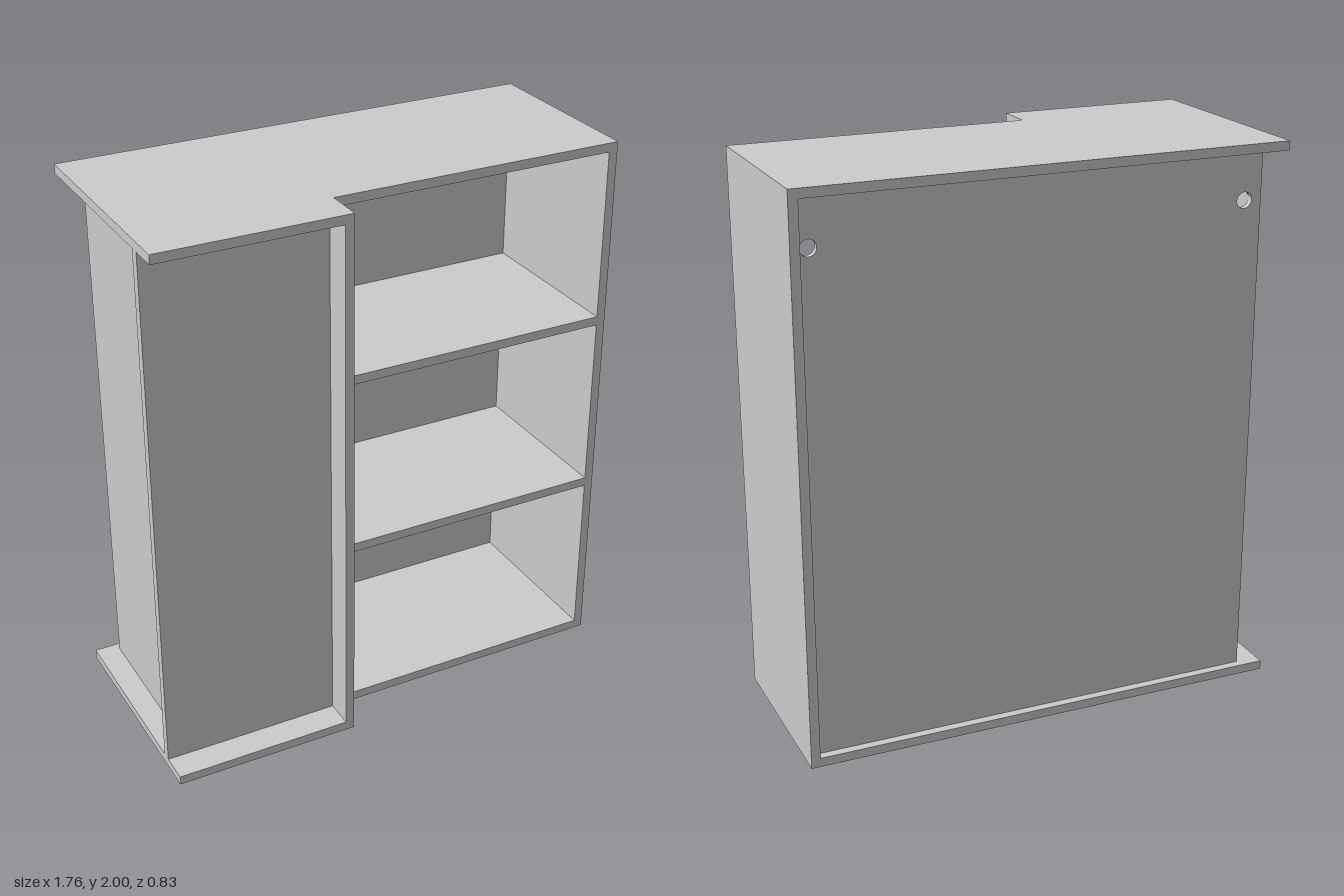
import * as THREE from 'three';

export function createModel() {
  const group = new THREE.Group();
  const material = new THREE.MeshStandardMaterial({ color: 0xcccccc });

  // Board given by its min and max corners
  function board(name, x0, x1, y0, y1, z0, z1) {
    const mesh = new THREE.Mesh(new THREE.BoxGeometry(x1 - x0, y1 - y0, z1 - z0), material);
    mesh.position.set((x0 + x1) / 2, (y0 + y1) / 2, (z0 + z1) / 2);
    mesh.name = name;
    group.add(mesh);
  }

  const W = 0.88, H = 2, T = 0.033;
  const back = -0.413, front = 0.27, rear = -0.382, doorFront = 0.413;
  const wallOut = -0.795, wallIn = -0.76, doorEdge = -0.2;

  // Cabinet carcass: top and bottom overhang the inset wall at -x
  board('bottomBoard', -W, W, 0, T, back, front);
  board('topBoard', -W, W, H - T, H, back, front);
  board('leftWall', W - T, W, T, H - T, back, front);
  board('insetWall', wallOut, wallIn, T, H - T, rear, front);

  // Shelves
  for (const y of [0.65, 1.317]) board('shelf', wallIn, W - T, y, y + T, -0.36, front);

  // Back panel with two cable holes
  const panel = new THREE.Shape();
  panel.moveTo(wallIn, T);
  panel.lineTo(W - T, T);
  panel.lineTo(W - T, H - T);
  panel.lineTo(wallIn, H - T);
  panel.closePath();
  for (const x of [0.812, -0.731]) {
    const hole = new THREE.Path();
    hole.absarc(x, 1.803, 0.028, 0, Math.PI * 2, true);
    panel.holes.push(hole);
  }
  const backPanel = new THREE.Mesh(
    new THREE.ExtrudeGeometry(panel, { depth: 0.022, bevelEnabled: false, curveSegments: 24 }), material);
  backPanel.position.z = rear;
  backPanel.name = 'backPanel';
  group.add(backPanel);

  // Front door tray: panel framed by top, bottom and one side
  board('doorPanel', -W, doorEdge - T, T, H - T, 0.274, 0.307);
  board('doorBottom', -W, doorEdge, 0, T, front, doorFront);
  board('doorTop', -W, doorEdge, H - T, H, front, doorFront);
  board('doorSide', doorEdge - T, doorEdge, T, H - T, front, doorFront);

  return group;
}
